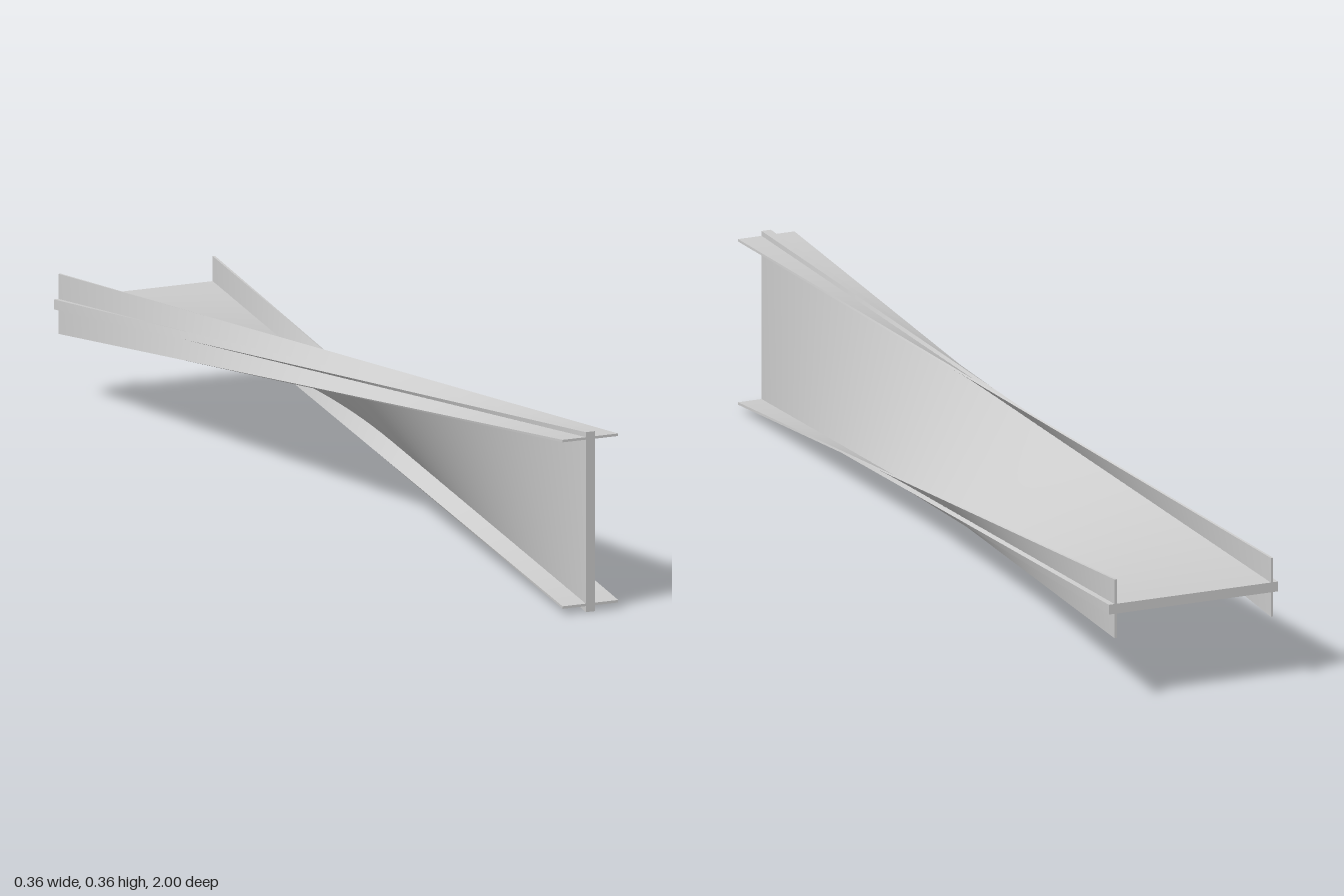
import * as THREE from 'three';

const STEPS = 80;
const material = new THREE.MeshStandardMaterial({ color: 0xcccccc });

// Every point runs straight from the front section to the same section
// turned a quarter counter-clockwise at the back.
function place(x, y, t) {
  return [x * (1 - t) - y * t, 0.18 + y * (1 - t) + (x + 0.003) * t, 1 - 2 * t];
}

// Lofts a rectangular section along the beam, with crisp corners.
function twistedBar(name, x0, x1, y0, y1) {
  const corners = [[x0, y0], [x1, y0], [x1, y1], [x0, y1]];
  const positions = [];
  const indices = [];

  // Four ruled sides
  for (let s = 0; s < 4; s++) {
    const p = corners[s];
    const q = corners[(s + 1) % 4];
    const base = positions.length / 3;
    for (let i = 0; i <= STEPS; i++) {
      const t = i / STEPS;
      positions.push(...place(p[0], p[1], t), ...place(q[0], q[1], t));
      if (i < STEPS) {
        const a = base + i * 2;
        indices.push(a, a + 2, a + 1, a + 1, a + 2, a + 3);
      }
    }
  }

  // End caps
  for (const t of [0, 1]) {
    const b = positions.length / 3;
    for (const c of corners) positions.push(...place(c[0], c[1], t));
    if (t === 0) indices.push(b, b + 1, b + 2, b, b + 2, b + 3);
    else indices.push(b, b + 2, b + 1, b, b + 3, b + 2);
  }

  const geometry = new THREE.BufferGeometry();
  geometry.setAttribute('position', new THREE.Float32BufferAttribute(positions, 3));
  geometry.setIndex(indices);
  geometry.computeVertexNormals();
  const mesh = new THREE.Mesh(geometry, material);
  mesh.name = name;
  return mesh;
}

export function createModel() {
  const beam = new THREE.Group();
  beam.name = 'twistedBeam';
  beam.add(twistedBar('web', 0.001, 0.021, -0.18, 0.18));
  beam.add(twistedBar('topFlange', -0.049, 0.071, 0.165, 0.17));
  beam.add(twistedBar('bottomFlange', -0.049, 0.071, -0.168, -0.163));
  return beam;
}
